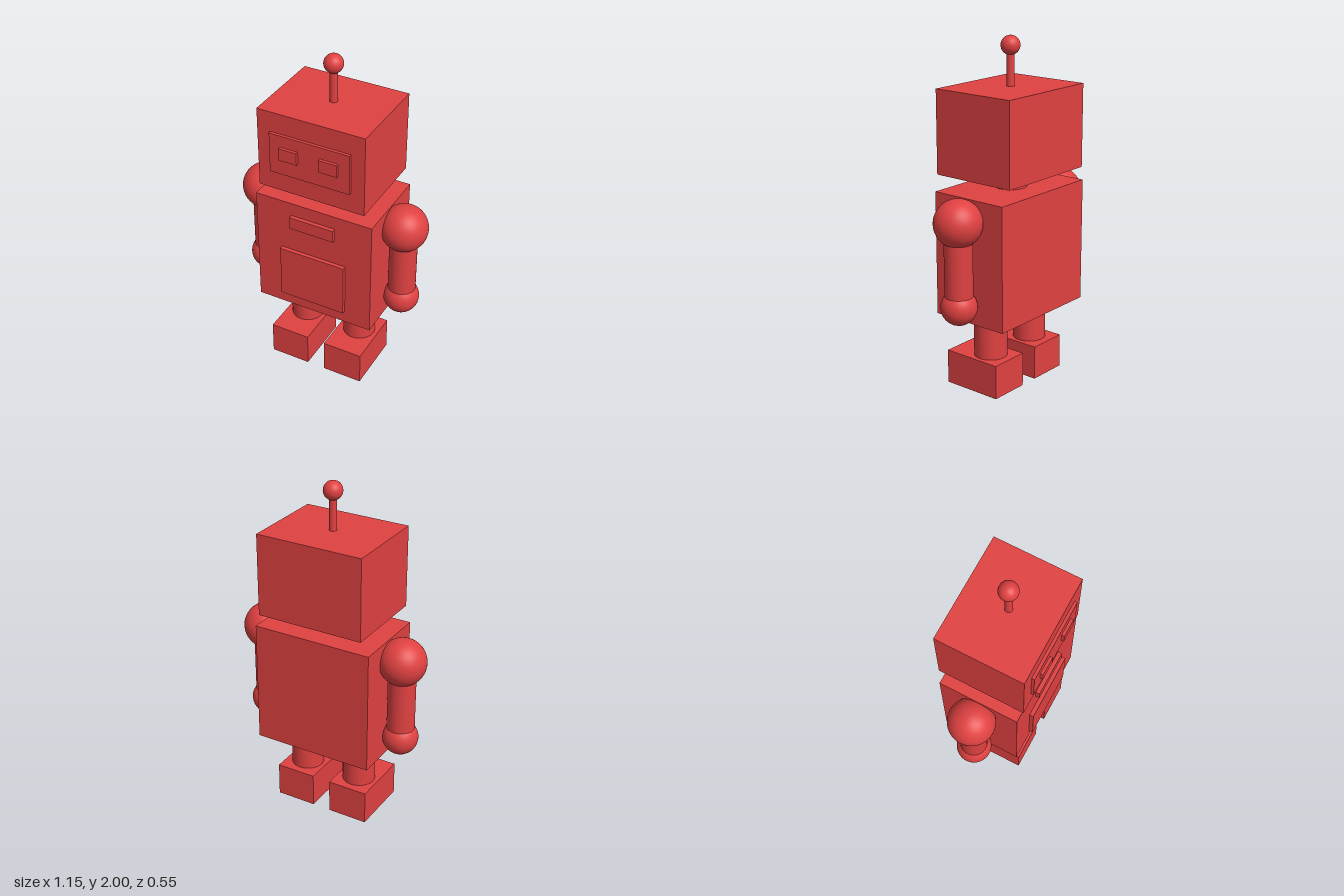
import * as THREE from 'three';

export function createModel() {
  const robot = new THREE.Group();
  robot.name = 'robot';
  const red = new THREE.MeshStandardMaterial({ color: 0xe04141 });
  red.name = 'red';
  const axisZ = -0.0175; // depth of the body's centre line

  const add = (name, geometry, x, y, z = axisZ) => {
    const mesh = new THREE.Mesh(geometry, red);
    mesh.name = name;
    mesh.position.set(x, y, z);
    robot.add(mesh);
  };
  // Box from its centre x, width, and y and z ranges
  const box = (name, x, w, y0, y1, z0, z1) =>
    add(name, new THREE.BoxGeometry(w, y1 - y0, z1 - z0), x, (y0 + y1) / 2, (z0 + z1) / 2);
  const rod = (name, x, r, y0, y1) =>
    add(name, new THREE.CylinderGeometry(r, r, y1 - y0, 48), x, (y0 + y1) / 2);
  const ball = (name, x, y, r) =>
    add(name, new THREE.SphereGeometry(r, 48, 32), x, y);

  // Head and antenna
  box('head', 0, 0.64, 1.245, 1.723, -0.275, 0.24);
  box('facePlate', 0, 0.48, 1.364, 1.604, 0.24, 0.257);
  rod('antennaRod', 0, 0.022, 1.723, 1.93);
  ball('antennaBall', 0, 1.946, 0.054);
  rod('neck', 0, 0.094, 1.16, 1.245);

  // Torso with raised chest details
  box('torso', 0, 0.716, 0.444, 1.16, -0.256, 0.221);
  box('chestStrip', 0, 0.27, 1.006, 1.08, 0.221, 0.245);
  box('chestPanel', 0, 0.4, 0.524, 0.844, 0.221, 0.245);

  // Mirrored eyes, arms and legs
  for (const [side, s] of [['left', 1], ['right', -1]]) {
    box(side + 'Eye', s * 0.12, 0.108, 1.461, 1.535, 0.257, 0.274);
    ball(side + 'Shoulder', s * 0.44, 1.043, 0.135);
    rod(side + 'Arm', s * 0.44, 0.079, 0.565, 1.043);
    ball(side + 'Hand', s * 0.44, 0.565, 0.102);
    rod(side + 'Leg', s * 0.175, 0.095, 0.2, 0.444);
    box(side + 'Foot', s * 0.175, 0.24, 0, 0.2, -0.156, 0.205);
  }
  return robot;
}
